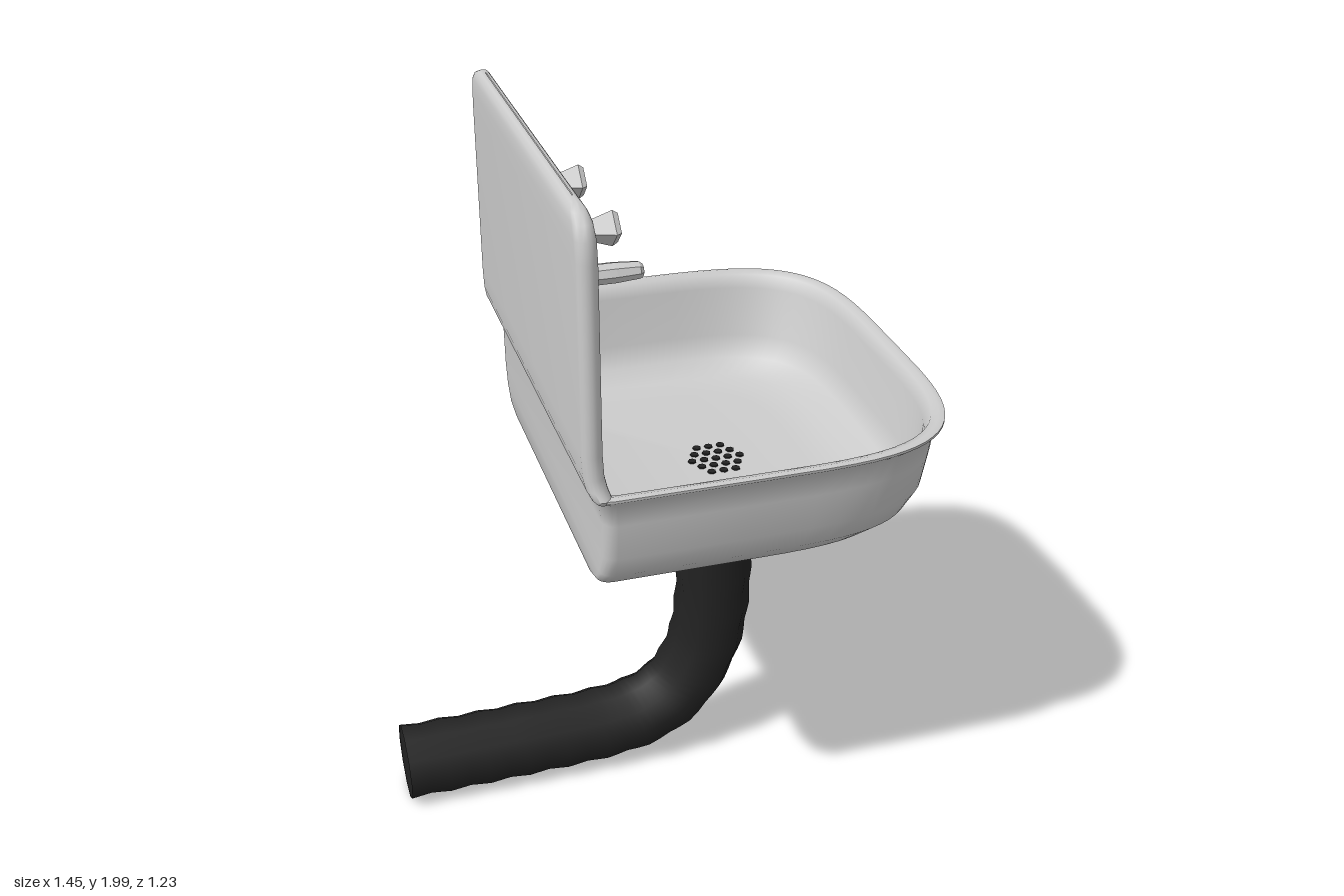
import * as THREE from 'three';
import { toCreasedNormals } from 'three/addons/utils/BufferGeometryUtils.js';

const grey = new THREE.MeshStandardMaterial({ color: 0xcccccc, side: THREE.DoubleSide });
const facetGrey = new THREE.MeshStandardMaterial({ color: 0xcccccc, flatShading: true });
const black = new THREE.MeshStandardMaterial({ color: 0x222222, side: THREE.DoubleSide });
const red = new THREE.MeshStandardMaterial({ color: 0xdd1111 });
const blue = new THREE.MeshStandardMaterial({ color: 0x1111cc });

function part(name, geometry, material, parent, x = 0, y = 0, z = 0) {
  const mesh = new THREE.Mesh(geometry, material);
  mesh.name = name;
  mesh.position.set(x, y, z);
  parent.add(mesh);
  return mesh;
}

// Skin through closed rings of equal point count
function loft(rings, crease) {
  const n = rings[0].length, index = [];
  for (let j = 0; j < rings.length - 1; j++) {
    for (let i = 0; i < n; i++) {
      const a = j * n + i, b = j * n + (i + 1) % n;
      index.push(a, b, b + n, a, b + n, a + n);
    }
  }
  const g = new THREE.BufferGeometry();
  g.setAttribute('position', new THREE.Float32BufferAttribute(rings.flat(2), 3));
  g.setIndex(index);
  return toCreasedNormals(g, crease);
}

// D-shaped outline: tight corners at the back, broad squarish curve at the front
function basinRing([xBack, xFront, halfZ, y]) {
  const half = [], xc = xBack + (xFront - xBack) * 0.38;
  const r = Math.min(0.035, halfZ * 0.2);
  for (let i = 0; i <= 4; i++) {
    const a = (i / 4) * Math.PI / 2;
    half.push([xBack + r * (1 - Math.sin(a)), y, halfZ - r * (1 - Math.cos(a))]);
  }
  half.reverse();
  for (let i = 0; i <= 18; i++) {
    const a = (i / 18) * Math.PI / 2;
    half.push([xc + (xFront - xc) * Math.sqrt(Math.sin(a)), y,
      halfZ * Math.sqrt(Math.max(0, Math.cos(a)))]);
  }
  const mirrored = half.slice(0, -1).reverse().map(([x, h, z]) => [x, h, -z]);
  return [...half, ...mirrored];
}

// Long flat section with round ends
function panelRing([y, halfZ, t, x]) {
  const ring = [];
  for (const s of [1, -1]) {
    for (let i = 0; i <= 8; i++) {
      const a = (i / 8) * Math.PI;
      ring.push([x - s * t * Math.cos(a), y, s * (halfZ - t + t * Math.sin(a))]);
    }
  }
  return ring;
}

// Turned piece along +x, profile given as [radius, x]
function turned(profile, sides) {
  const pts = profile.map(([r, x]) => new THREE.Vector2(r, x));
  return new THREE.LatheGeometry(pts, sides).rotateZ(-Math.PI / 2);
}

export function createModel() {
  const model = new THREE.Group();
  model.name = 'wallSink';

  // Basin: outside from the bottom up, over the rim, then down the inside
  const basin = [
    [0.2, 0.21, 0.005, 0.972], [-0.262, 0.4, 0.4, 0.972], [-0.268, 0.52, 0.46, 0.98],
    [-0.27, 0.6, 0.52, 1.0], [-0.27, 0.65, 0.555, 1.04], [-0.27, 0.68, 0.575, 1.1],
    [-0.27, 0.695, 0.583, 1.2], [-0.275, 0.7, 0.588, 1.262], [-0.29, 0.72, 0.613, 1.284],
    [-0.29, 0.72, 0.613, 1.291], [-0.28, 0.705, 0.6, 1.294], [-0.27, 0.69, 0.58, 1.287],
    [-0.262, 0.675, 0.565, 1.25], [-0.25, 0.66, 0.55, 1.1], [-0.24, 0.63, 0.52, 1.04],
    [-0.22, 0.55, 0.46, 1.005], [-0.18, 0.45, 0.38, 0.996], [0.2, 0.21, 0.005, 0.99],
  ];
  part('basin', loft(basin.map(basinRing), 0.9), grey, model);

  // Backsplash: flared where it meets the rim, rounded at the top
  const panel = [
    [1.275, 0.55, 0.002, -0.275], [1.278, 0.605, 0.015, -0.275], [1.29, 0.612, 0.024, -0.277],
    [1.31, 0.6, 0.026, -0.285], [1.34, 0.593, 0.026, -0.291], [1.4, 0.59, 0.026, -0.294],
    [1.88, 0.587, 0.026, -0.297], [1.93, 0.58, 0.026, -0.298], [1.965, 0.565, 0.024, -0.3],
    [1.985, 0.54, 0.019, -0.302], [1.996, 0.51, 0.011, -0.302], [2.0, 0.47, 0.001, -0.302],
  ];
  part('backsplash', loft(panel.map(panelRing), 1.0), grey, model);

  // Drain holes in a hexagonal pattern
  const drain = new THREE.Group();
  drain.name = 'drain';
  model.add(drain);
  const hole = new THREE.CylinderGeometry(0.012, 0.012, 0.004, 7);
  for (let row = -2; row <= 2; row++) {
    const count = 5 - Math.abs(row);
    for (let i = 0; i < count; i++) {
      part('drainHole', hole, black, drain, 0.21 + (i - (count - 1) / 2) * 0.035, 0.994, row * 0.034);
    }
  }

  // Drain pipe: gently rippled tube bending towards the wall
  const path = new THREE.CatmullRomCurve3([
    [0.21, 0.985], [0.21, 0.75], [0.206, 0.5], [0.18, 0.36], [0.105, 0.225],
    [0.01, 0.16], [-0.1, 0.133], [-0.4, 0.12], [-0.73, 0.117],
  ].map(([x, y]) => new THREE.Vector3(x, y, 0)), false, 'centripetal');
  const tube = new THREE.TubeGeometry(path, 56, 0.112, 10, false);
  const pos = tube.attributes.position, nor = tube.attributes.normal;
  for (let i = 0; i < pos.count; i++) {
    const ripple = 0.003 * (Math.cos(Math.floor(i / 11) * Math.PI / 2) - 1);
    pos.setXYZ(i, pos.getX(i) + nor.getX(i) * ripple, pos.getY(i) + nor.getY(i) * ripple,
      pos.getZ(i) + nor.getZ(i) * ripple);
  }
  part('drainPipe', tube, black, model);
  part('pipeEnd', new THREE.CircleGeometry(0.11, 10).rotateY(-Math.PI / 2), black, model, -0.728, 0.117, 0);

  // Faucet: crossbar, drop stem and spout
  const faucet = new THREE.Group();
  faucet.name = 'faucet';
  model.add(faucet);
  const bar = turned([[0, -0.165], [0.008, -0.165], [0.012, -0.075], [0.019, -0.068],
    [0.019, 0.068], [0.012, 0.075], [0.008, 0.165], [0, 0.165]], 8).rotateY(Math.PI / 2);
  part('crossbar', bar, facetGrey, faucet, -0.225, 1.785, 0);
  part('dropStem', new THREE.CylinderGeometry(0.011, 0.014, 0.18, 8), facetGrey, faucet, -0.225, 1.69, 0);
  const spout = turned([[0, -0.255], [0.022, -0.255], [0.03, -0.19], [0.03, -0.08],
    [0.025, -0.015], [0.017, -0.005], [0, -0.005]], 8);
  part('spout', spout.scale(1, 0.93, 1.1), facetGrey, faucet, 0, 1.593, 0);

  // Handles: four-sided flared knobs with a coloured dot
  const handleStem = turned([[0, -0.28], [0.009, -0.28], [0.009, -0.2], [0, -0.2]], 8);
  const knob = turned([[0, -0.215], [0.018, -0.215], [0.047, -0.13], [0.038, -0.116], [0, -0.116]], 4);
  const dot = new THREE.CylinderGeometry(0.011, 0.011, 0.006, 10).rotateZ(-Math.PI / 2);
  for (const [name, z, colour] of [['hotHandle', 0.165, red], ['coldHandle', -0.165, blue]]) {
    const handle = new THREE.Group();
    handle.name = name;
    handle.position.set(0, 1.785, z);
    faucet.add(handle);
    part('handleStem', handleStem, facetGrey, handle);
    part('knob', knob, facetGrey, handle);
    part('knobDot', dot, colour, handle, -0.115, 0, 0);
  }
  return model;
}
